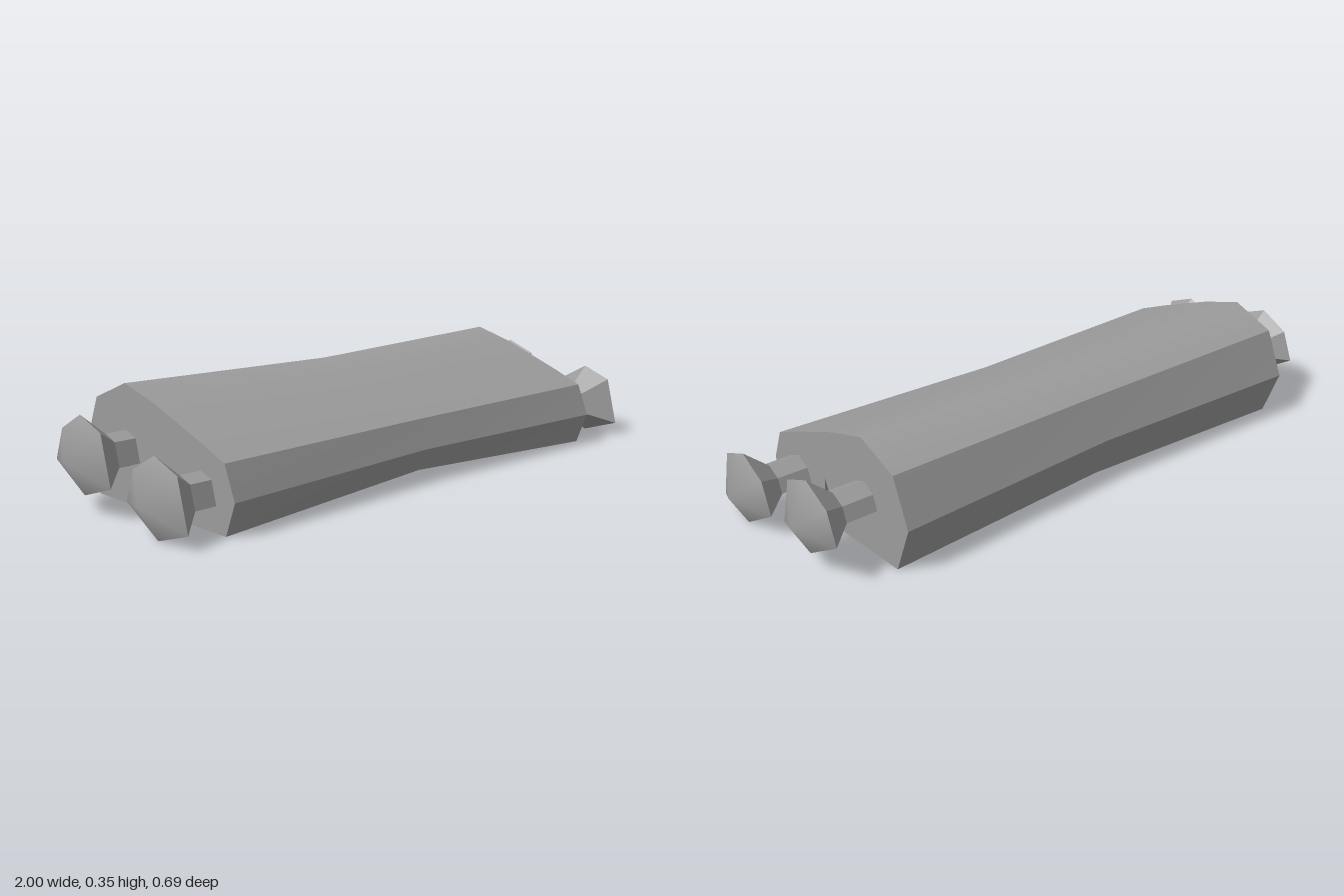
import * as THREE from 'three';
import { mergeGeometries, mergeVertices } from 'three/addons/utils/BufferGeometryUtils.js';

// Skin [z, y] rings placed along ascending x; every band is a list of ring sides shaded smoothly together.
function loft(xs, rings, bands) {
  const n = rings[0].length;
  const parts = bands.map((sides) => {
    const pos = [];
    const put = (i, j) => pos.push(xs[i], rings[i][j % n][1], rings[i][j % n][0]);
    for (let i = 0; i < xs.length - 1; i++) {
      for (const j of sides) {
        put(i, j); put(i, j + 1); put(i + 1, j);
        put(i, j + 1); put(i + 1, j + 1); put(i + 1, j);
      }
    }
    return finish(pos);
  });
  return mergeGeometries(parts);
}

function finish(pos) {
  let g = new THREE.BufferGeometry();
  g.setAttribute('position', new THREE.Float32BufferAttribute(pos, 3));
  g = mergeVertices(g, 1e-5);
  g.computeVertexNormals();
  return g.toNonIndexed();
}

// Flat end wall of a ring, facing +x or -x
function endWall(x, ring, dir) {
  const pts = ring.map(([z, y]) => new THREE.Vector2(z, y));
  const pos = [];
  for (const tri of THREE.ShapeUtils.triangulateShape(pts, [])) {
    const t = tri.map((k) => pts[k]);
    if (THREE.ShapeUtils.area(t) * dir > 0) t.reverse();
    t.forEach((p) => pos.push(x, p.y, p.x));
  }
  return finish(pos);
}

export function createModel() {
  const model = new THREE.Group();
  model.name = 'twinRoller';
  const grey = new THREE.MeshStandardMaterial({ color: 0x9c9c9c });
  grey.name = 'grey';
  const add = (parent, name, geometry) => {
    const mesh = new THREE.Mesh(geometry, grey);
    mesh.name = name;
    parent.add(mesh);
  };

  // Body: two merged octagonal rolls, pinched at the waist, with a groove underneath
  const end = [[0.305, 0.2], [0.345, 0.1], [0.305, 0], [0.108, 0], [0.07, 0.095], [0.065, 0.145], [0.025, 0.05],
    [0.005, 0], [-0.285, 0], [-0.345, 0.147], [-0.285, 0.293], [-0.14, 0.353], [0, 0.315], [0.2, 0.242]];
  const waist = [[0.28, 0.195], [0.31, 0.105], [0.28, 0.035], [0.1, 0.035], [0.078, 0.08], [0.06, 0.12], [0.04, 0.05],
    [0, 0.015], [-0.26, 0.015], [-0.31, 0.147], [-0.26, 0.28], [-0.14, 0.333], [0, 0.306], [0.2, 0.232]];
  const bands = [[0], [1], [2], [3], [4], [5], [6], [7], [8], [9], [10, 11, 12, 13]];
  add(model, 'body', mergeGeometries([
    loft([-0.79, -0.015, 0.76], [end, waist, end], bands),
    endWall(-0.79, end, -1),
    endWall(0.76, end, 1),
  ]));

  // Knobs: irregular hexagon offsets from the axle, clockwise in (z, y)
  const hex = [[-0.095, 0.072], [0, 0.125], [0.098, 0.088], [0.137, -0.063], [0.007, -0.105], [-0.132, -0.025]];
  const six = [0, 1, 2, 3, 4, 5];
  const axles = [['front', 0.203, 0.105], ['rear', -0.14, 0.16]];
  for (const [label, cz, cy] of axles) {
    const ring = (s) => hex.map(([z, y]) => [cz + z * s, cy + y * s]);
    for (const side of [1, -1]) {
      const knob = new THREE.Group();
      knob.name = label + (side > 0 ? 'LeftKnob' : 'RightKnob');
      const span = (x0, s0, x1, s1, groups) => (side > 0
        ? loft([x0, x1], [ring(s0), ring(s1)], groups)
        : loft([-x1, -x0], [ring(s1), ring(s0)], groups));
      const flat = six.map((j) => [j]);
      add(knob, 'stub', span(0.74, 0.46, 0.86, 0.46, flat));
      add(knob, 'flare', span(0.86, 0.46, 0.94, 1, flat));
      add(knob, 'tip', span(0.94, 1, 1, 0, [six]));
      model.add(knob);
    }
  }
  return model;
}
